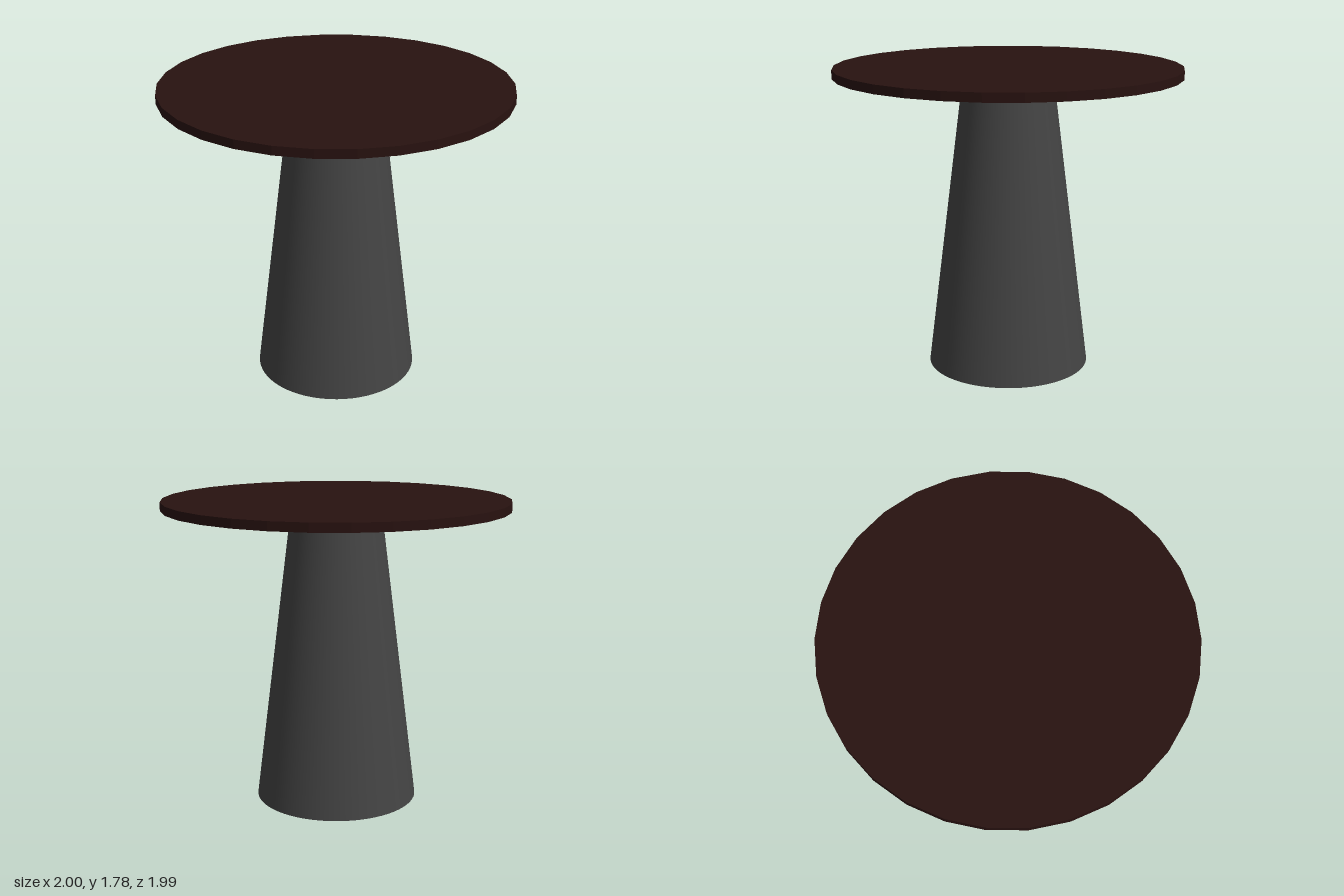
import * as THREE from 'three';

const TOP_Y = 1.78, TOP_THICKNESS = 0.05;

// Closed round part resting on height y, with a vertex on the x axis
function roundPart(name, rTop, rBottom, height, y, sides, color, flatShading) {
  const geometry = new THREE.CylinderGeometry(rTop, rBottom, height, sides, 1, false, Math.PI / 2);
  geometry.translate(0, y + height / 2, 0);
  const mesh = new THREE.Mesh(geometry, new THREE.MeshStandardMaterial({ color, flatShading }));
  mesh.name = name;
  return mesh;
}

export function createModel() {
  const table = new THREE.Group();
  table.name = 'pedestalTable';
  const underside = TOP_Y - TOP_THICKNESS;

  // Tapered pedestal, smooth and round
  table.add(roundPart('pedestal', 0.26, 0.476, underside, 0, 64, 0x444444, false));

  // Thin 30-sided tabletop
  table.add(roundPart('tabletop', 1, 1, TOP_THICKNESS, underside, 30, 0x281210, true));

  return table;
}
